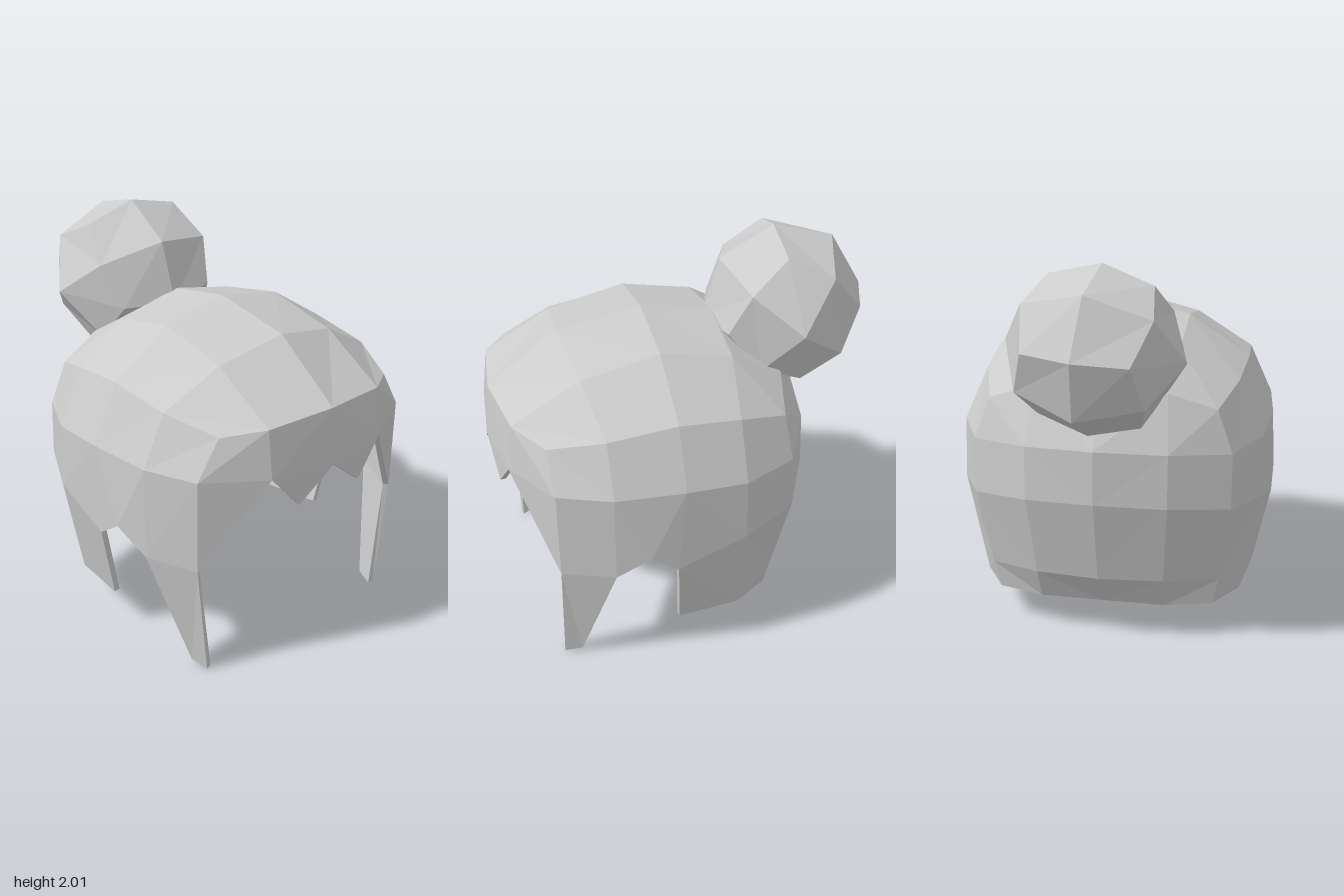
import * as THREE from 'three';

const material = new THREE.MeshStandardMaterial({ color: 0xcccccc, flatShading: true });
const THICKNESS = 0.03;

// Thin shell from outer triangles: inner copy plus a wall along every open edge
function shell(triangles, centre) {
  const points = [], normals = [], ids = new Map(), faces = [], edges = new Map();
  const idOf = (p) => {
    const key = p.map((v) => v.toFixed(3)).join();
    if (!ids.has(key)) {
      ids.set(key, points.length);
      points.push(new THREE.Vector3(...p));
      normals.push(new THREE.Vector3());
    }
    return ids.get(key);
  };
  for (const tri of triangles) {
    let [a, b, c] = tri.map(idOf);
    const ab = points[b].clone().sub(points[a]);
    const n = ab.cross(points[c].clone().sub(points[a]));
    const mid = points[a].clone().add(points[b]).add(points[c]).divideScalar(3).sub(centre);
    if (n.dot(mid) < 0) { [b, c] = [c, b]; n.negate(); }
    faces.push([a, b, c]);
    for (const i of [a, b, c]) normals[i].add(n);
    for (const [i, j] of [[a, b], [b, c], [c, a]]) edges.set(i + '_' + j, [i, j]);
  }
  const inner = points.map((p, i) => p.clone().addScaledVector(normals[i].normalize(), -THICKNESS));
  const out = [];
  const add = (...ps) => ps.forEach((p) => out.push(p.x, p.y, p.z));
  for (const [a, b, c] of faces) {
    add(points[a], points[b], points[c]);
    add(inner[a], inner[c], inner[b]);
  }
  for (const [i, j] of edges.values()) {
    if (edges.has(j + '_' + i)) continue;
    add(points[j], points[i], inner[i]);
    add(points[j], inner[i], inner[j]);
  }
  const geometry = new THREE.BufferGeometry();
  geometry.setAttribute('position', new THREE.Float32BufferAttribute(out, 3));
  geometry.computeVertexNormals();
  return geometry;
}

function hairCap() {
  // Half rings, from the front centre round the side to the back centre
  const brow = [[0, 1.34, 0.97], [0.36, 1.32, 0.92], [0.55, 1.29, 0.79], [0.66, 1.35, 0.52], [0.68, 1.39, 0.17],
    [0.66, 1.35, -0.15], [0.58, 1.27, -0.41], [0.34, 1.36, -0.47], [0, 1.4, -0.48]];
  const temple = [[0, 1.05, 0.995], [0.36, 1.07, 0.95], [0.67, 1.09, 0.78], [0.78, 1.09, 0.52], [0.815, 1.09, 0.17],
    [0.79, 1.06, -0.15], [0.66, 1.05, -0.43], [0.36, 1.08, -0.59], [0, 1.1, -0.66]];
  // Back half rings, from behind the ear to the back centre
  const ear = [[0.82, 0.62, 0.21], [0.8, 0.73, -0.15], [0.66, 0.76, -0.44], [0.36, 0.8, -0.6], [0, 0.82, -0.66]];
  const nape = [[0.73, 0.21, 0.18], [0.69, 0.19, -0.15], [0.6, 0.33, -0.36], [0.33, 0.36, -0.5], [0, 0.37, -0.55]];
  const hem = [[0.57, 0.18, -0.34], [0.33, 0.18, -0.41], [0, 0.19, -0.43]];
  // Crown rows, from the centre line out to the brow ring
  const crown = [
    brow.slice(0, 3),
    [[0, 1.6, 0.61], [0.36, 1.52, 0.57], brow[3]],
    [[0, 1.67, 0.17], [0.36, 1.6, 0.17], brow[4]],
    [[0, 1.6, -0.2], [0.36, 1.52, -0.2], brow[5]],
    [brow[8], brow[7], brow[6]],
  ];

  const half = [];
  const fan = (...p) => {
    for (let i = 1; i < p.length - 1; i++) half.push([p[0], p[i], p[i + 1]]);
  };
  const grid = (...rows) => {
    for (let r = 0; r < rows.length - 1; r++) {
      for (let i = 0; i < rows[r].length - 1; i++) {
        fan(rows[r][i], rows[r][i + 1], rows[r + 1][i + 1], rows[r + 1][i]);
      }
    }
  };
  grid(...crown);
  grid(brow, temple);
  grid(temple.slice(4), ear, nape);
  grid(nape.slice(2), hem);
  fan(nape[1], nape[2], hem[0]);

  // Fringe point
  fan(temple[0], [0.2, 0.89, 0.975], temple[1]);
  // Sideburn with its long tip, and the notch over the ear
  const front = [0.665, 0.6, 0.775], rear = [0.78, 0.61, 0.52], notch = [0.82, 0.72, 0.35];
  fan(temple[1], front, temple[2]);
  fan(temple[2], front, rear, temple[3]);
  fan(front, [0.6, 0, 0.77], [0.625, 0.02, 0.68], rear);
  fan(temple[3], rear, notch);
  fan(temple[3], notch, temple[4]);
  fan(temple[4], notch, ear[0]);

  const mirrored = half.map((tri) => tri.map(([x, y, z]) => [x === 0 ? 0 : -x, y, z]));
  return shell([...half, ...mirrored], new THREE.Vector3(0, 0.8, 0.1));
}

// Bun: a 2 x 2 x 2 box pushed out to a ball, tilted on the back of the crown
function bunGeometry() {
  const geometry = new THREE.BoxGeometry(2, 2, 2, 2, 2, 2);
  const position = geometry.attributes.position;
  const v = new THREE.Vector3();
  for (let i = 0; i < position.count; i++) {
    v.fromBufferAttribute(position, i).setLength(0.42);
    position.setXYZ(i, v.x * 1.08, v.y, v.z);
  }
  geometry.rotateX(THREE.MathUtils.degToRad(52));
  geometry.rotateZ(0.06);
  geometry.rotateY(-0.09);
  geometry.translate(0, 1.59, -0.585);
  geometry.computeVertexNormals();
  return geometry;
}

export function createModel() {
  const group = new THREE.Group();
  group.name = 'hair';
  for (const [name, geometry] of [['hairCap', hairCap()], ['bun', bunGeometry()]]) {
    const mesh = new THREE.Mesh(geometry, material);
    mesh.name = name;
    group.add(mesh);
  }
  return group;
}
